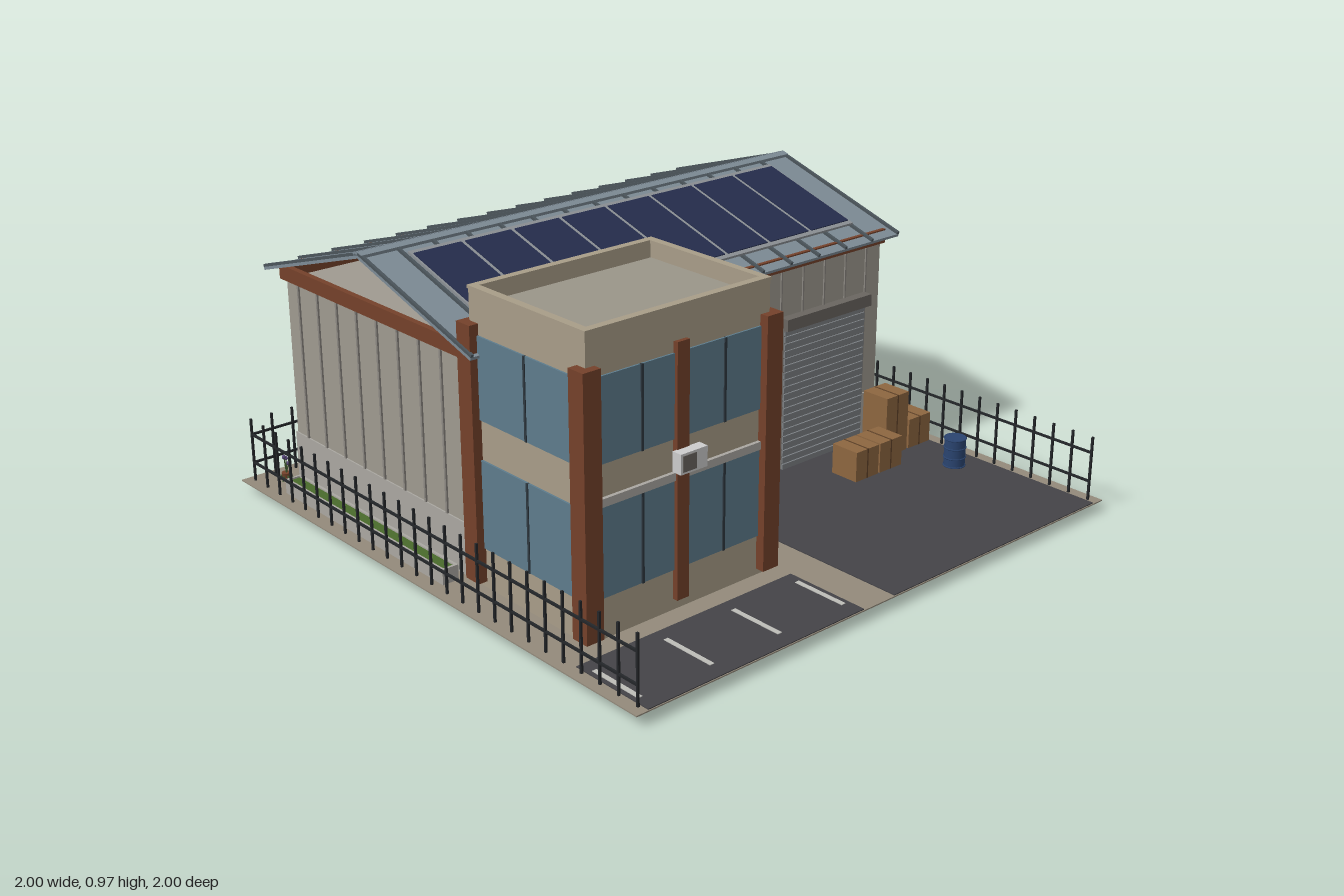
import * as THREE from 'three';

const mat = (c) => new THREE.MeshStandardMaterial({ color: c, side: THREE.DoubleSide });
const M = {
  ground: mat(0x938a7b), asphalt: mat(0x444347), line: mat(0xbdbdb8), wall: mat(0x9f9a90),
  base: mat(0xaaa7a1), rib: mat(0x8a8680), trim: mat(0x74412a), roof: mat(0x7d8b95),
  seam: mat(0x4b555b), panel: mat(0x252d4c), frame: mat(0x8b9094), tan: mat(0xa89d88),
  deck: mat(0x9a9589), glass: mat(0x5e7c8c), dark: mat(0x2e3840), door: mat(0x7b7f83),
  hood: mat(0x6a6560), light: mat(0xcccccc), fence: mat(0x232629), crate: mat(0x8d6640),
  strap: mat(0x5f4228), barrel: mat(0x2a4470), grass: mat(0x4a6b2c), leaf: mat(0x3f5a30),
  flower: mat(0x5b4a7c),
};
const G = 0.04; // ground level

function add(parent, name, geo, m, x = 0, y = 0, z = 0) {
  const mesh = new THREE.Mesh(geo, m);
  mesh.name = name;
  mesh.position.set(x, y, z);
  parent.add(mesh);
  return mesh;
}
// box from its extents
function box(parent, name, m, x0, x1, y0, y1, z0, z1) {
  return add(parent, name, new THREE.BoxGeometry(x1 - x0, y1 - y0, z1 - z0), m,
    (x0 + x1) / 2, (y0 + y1) / 2, (z0 + z1) / 2);
}
function group(parent, name) {
  const g = new THREE.Group();
  g.name = name;
  parent.add(g);
  return g;
}
// four boards around a rectangle, with thickness t inwards
function ring(parent, name, m, x0, x1, y0, y1, z0, z1, t) {
  box(parent, name, m, x0, x1, y0, y1, z1 - t, z1);
  box(parent, name, m, x0, x1, y0, y1, z0, z0 + t);
  box(parent, name, m, x0, x0 + t, y0, y1, z0 + t, z1 - t);
  box(parent, name, m, x1 - t, x1, y0, y1, z0 + t, z1 - t);
}

function buildYard(root) {
  const g = group(root, 'yard');
  box(g, 'groundSlab', M.ground, -1, 1, G - 0.004, G, -1, 1);
  box(g, 'driveway', M.asphalt, 0, 0.955, G, G + 0.003, 0.125, 0.997);
  box(g, 'parkingPad', M.asphalt, -0.957, -0.13, G, G + 0.003, 0.7, 0.997);
  for (let i = 0; i < 4; i++) {
    const x = -0.935 + i * 0.26;
    box(g, 'parkingLine', M.line, x - 0.008, x + 0.008, G + 0.003, G + 0.005, 0.75, 0.94);
  }
  // planting bed
  ring(g, 'planterEdge', M.base, -0.945, -0.888, G, 0.09, -0.81, 0.065, 0.009);
  box(g, 'planterGrass', M.grass, -0.936, -0.897, G, 0.085, -0.8, 0.055);
}

function buildFence(root) {
  const g = group(root, 'fence'), e = 0.967, n = 25, r = 0.0035;
  const post = (x, z) => box(g, 'fencePost', M.fence, x - r, x + r, G, 0.26, z - r, z + r);
  for (let i = 0; i <= n; i++) {
    const t = -e + (2 * e * i) / n;
    post(-e, t);
    post(e, t);
    if (i > 0 && i < n) post(t, -e);
  }
  for (const y of [0.105, 0.205]) {
    for (const x of [-e, e]) box(g, 'fenceRail', M.fence, x - r, x + r, y - r, y + r, -e, e);
    box(g, 'fenceRail', M.fence, -e, e, y - r, y + r, -e - r, -e + r);
  }
}

function buildHall(root) {
  const g = group(root, 'hall');
  box(g, 'hallWalls', M.wall, -0.85, 0.85, G, 0.745, -0.87, 0.13);
  ring(g, 'wallBase', M.base, -0.855, 0.855, G, 0.213, -0.875, 0.135, 0.01);
  ring(g, 'eavesTrim', M.trim, -0.865, 0.865, 0.742, 0.79, -0.888, 0.14, 0.02);
  // cladding ribs on front and left-hand end
  for (let x = -0.12; x < 0.85; x += 0.1) box(g, 'wallRib', M.rib, x - 0.003, x + 0.003, 0.213, 0.742, 0.13, 0.135);
  for (let z = -0.8; z < 0.1; z += 0.11) box(g, 'wallRib', M.rib, -0.856, -0.85, 0.213, 0.742, z - 0.004, z + 0.004);

  // roller doors
  for (const x of [-0.065, 0.39]) {
    const d = group(g, 'rollerDoor'), w = 0.38, n = 20, h = 0.505 / n;
    box(d, 'doorBacking', M.hood, x, x + w, G, 0.545, 0.13, 0.139);
    for (let i = 0; i < n; i++) box(d, 'doorSlat', M.door, x, x + w, G + i * h, G + (i + 0.85) * h, 0.139, 0.145);
    box(d, 'doorHood', M.hood, x - 0.01, x + w + 0.01, 0.542, 0.583, 0.13, 0.165);
  }
}

function buildRoof(root) {
  const roof = group(root, 'roof');
  roof.position.set(0, 0.945, -0.38);
  const run = 0.555, drop = 0.17, len = Math.hypot(run, drop);
  for (const back of [false, true]) {
    const side = group(roof, back ? 'backSlope' : 'frontSlope');
    if (back) side.rotation.y = Math.PI;
    const s = group(side, 'slope');
    s.rotation.x = Math.atan2(drop, run);
    box(s, 'roofSheet', M.roof, -0.893, 0.893, -0.01, 0, 0, len);
    for (let i = 0; i <= 14; i++) {
      const x = -0.888 + (1.776 * i) / 14;
      box(s, 'roofSeam', M.seam, x - 0.005, x + 0.005, 0, 0.009, 0, len);
    }
    box(s, 'ridgeCap', M.roof, -0.893, 0.893, 0, 0.011, -0.002, 0.022);
    if (back) continue;
    // solar array
    const a = group(s, 'solarArray'), p = 0.1893;
    for (let i = 0; i < 8; i++) {
      const x = -0.758 + i * p;
      box(a, 'solarFrame', M.frame, x, x + p, 0.012, 0.02, 0.065, 0.485);
      box(a, 'solarPanel', M.panel, x + 0.007, x + p - 0.007, 0.02, 0.023, 0.083, 0.468);
    }
  }
}

function buildTower(root) {
  const g = group(root, 'officeTower');
  const x0 = -0.855, x1 = -0.175, z0 = 0.125, z1 = 0.63, xm = (x0 + x1) / 2, zm = (z0 + z1) / 2;
  box(g, 'towerBody', M.tan, x0, x1, G, 0.91, z0, z1);
  box(g, 'towerDeck', M.deck, x0 + 0.02, x1 - 0.02, 0.91, 0.915, z0 + 0.02, z1 - 0.02);
  ring(g, 'parapet', M.tan, x0, x1, 0.865, 0.965, z0 - 0.002, z1 + 0.004, 0.018);
  ring(g, 'parapetCap', M.tan, x0 - 0.003, x1 + 0.003, 0.96, 0.97, z0 - 0.005, z1 + 0.007, 0.026);
  // window strips with mullions on the three open sides
  for (const [y0, y1] of [[0.17, 0.45], [0.575, 0.83]]) {
    box(g, 'frontWindow', M.glass, x0 + 0.03, x1 - 0.03, y0, y1, z1, z1 + 0.006);
    for (const x of [-0.66, -0.35]) box(g, 'mullion', M.dark, x - 0.004, x + 0.004, y0, y1, z1, z1 + 0.01);
    for (const [x, s] of [[x0, -1], [x1, 1]]) {
      const lo = Math.min(x, x + s * 0.006), hi = Math.max(x, x + s * 0.006);
      box(g, 'sideWindow', M.glass, lo, hi, y0, y1, z0 + 0.03, z1 - 0.03);
      box(g, 'mullion', M.dark, lo - 0.003, hi + 0.003, y0, y1, zm - 0.004, zm + 0.004);
    }
  }
  box(g, 'floorLedge', M.base, x0 + 0.03, x1 - 0.03, 0.45, 0.475, z1, z1 + 0.012);
  // side entrance
  box(g, 'entranceDoor', M.glass, x1, x1 + 0.01, G, 0.34, 0.315, 0.44);
  for (const z of [0.31, 0.44]) box(g, 'doorFrame', M.dark, x1, x1 + 0.014, G, 0.345, z, z + 0.006);
  box(g, 'doorFrame', M.dark, x1, x1 + 0.014, 0.339, 0.346, 0.31, 0.446);
  box(g, 'doorHandle', M.light, x1 + 0.01, x1 + 0.02, 0.16, 0.22, 0.33, 0.336);
  // rust-coloured pillars
  for (const x of [-0.855, -0.177]) for (const z of [0.132, 0.63])
    box(g, 'cornerPillar', M.trim, x - 0.031, x + 0.031, 0.06, 0.865, z - 0.031, z + 0.031);
  box(g, 'centrePillar', M.trim, -0.54, -0.495, 0.075, 0.865, z1, 0.648);
  // wall unit
  box(g, 'wallUnit', M.light, -0.556, -0.455, 0.483, 0.546, 0.645, 0.68);
  box(g, 'wallUnitGrille', M.hood, -0.548, -0.498, 0.49, 0.539, 0.68, 0.682);
}

function buildGoods(root) {
  const g = group(root, 'goods'), s = 0.108;
  for (const [x, y, z] of [[0.5, G, 0.27], [0.615, G, 0.27], [0.726, G, 0.195], [0.844, G, 0.195], [0.726, G + s, 0.195]]) {
    box(g, 'crate', M.crate, x, x + s, y, y + s, z, z + s);
    box(g, 'crateStrap', M.strap, x + s / 2 - 0.003, x + s / 2 + 0.003, y, y + s + 0.001, z - 0.001, z + s + 0.001);
  }
  add(g, 'barrel', new THREE.CylinderGeometry(0.036, 0.036, 0.102, 20), M.barrel, 0.853, 0.093, 0.5);
  for (const y of [0.045, 0.075, 0.11, 0.142]) {
    const hoop = add(g, 'barrelHoop', new THREE.TorusGeometry(0.036, 0.003, 6, 20), M.barrel, 0.853, y, 0.5);
    hoop.rotation.x = Math.PI / 2;
  }
}

function buildPlant(root) {
  const g = group(root, 'pottedPlant');
  g.position.set(-0.885, 0, -0.906);
  add(g, 'pot', new THREE.CylinderGeometry(0.016, 0.011, 0.04, 10), M.trim, 0, 0.045, 0);
  // drooping leaves
  for (let i = 0; i < 7; i++) {
    const a = (i / 7) * Math.PI * 2, c = Math.cos(a), s = Math.sin(a);
    const curve = new THREE.QuadraticBezierCurve3(new THREE.Vector3(0, 0.06, 0),
      new THREE.Vector3(c * 0.025, 0.06, s * 0.025), new THREE.Vector3(c * 0.03, 0.003 + (i % 3) * 0.012, s * 0.03));
    add(g, 'leaf', new THREE.TubeGeometry(curve, 5, 0.003, 4), M.leaf);
  }
  // flower stems
  for (const [x, z, h] of [[-0.01, 0.008, 0.125], [0.008, -0.01, 0.11], [0.004, 0.01, 0.1]]) {
    const curve = new THREE.LineCurve3(new THREE.Vector3(0, 0.06, 0), new THREE.Vector3(x, h, z));
    add(g, 'stem', new THREE.TubeGeometry(curve, 1, 0.002, 4), M.leaf);
    add(g, 'flower', new THREE.SphereGeometry(0.007, 8, 6), M.flower, x, h, z);
  }
}

export function createModel() {
  const root = new THREE.Group();
  root.name = 'warehouse';
  for (const build of [buildYard, buildFence, buildHall, buildRoof, buildTower, buildGoods, buildPlant]) build(root);
  return root;
}
